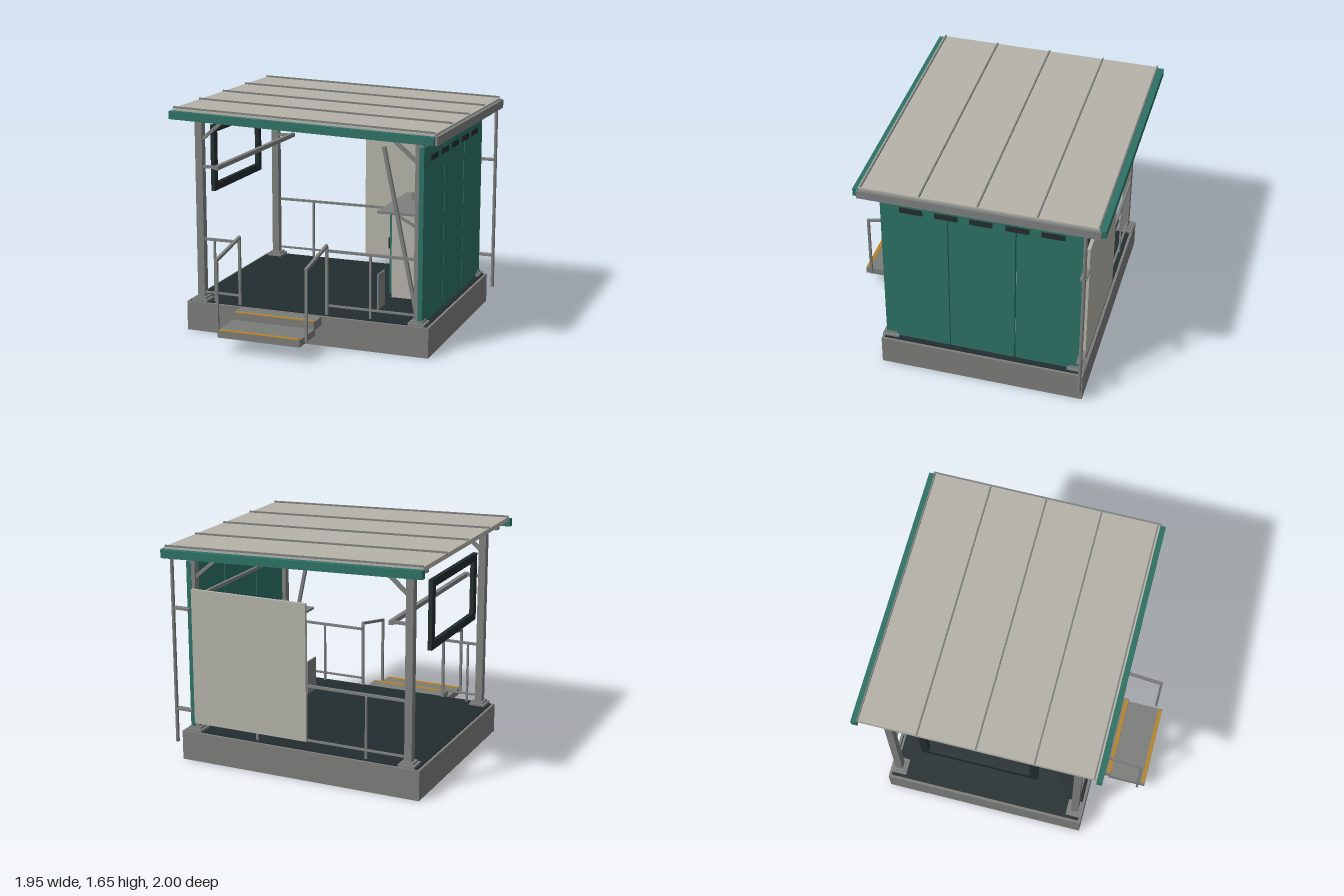
import * as THREE from 'three';

const mat = (name, color) => {
  const m = new THREE.MeshStandardMaterial({ color });
  m.name = name;
  return m;
};

export function createModel() {
  const model = new THREE.Group();
  model.name = 'shelter';
  const concrete = mat('concrete', 0x7b7d7a);
  const steel = mat('galvanised steel', 0x7d807e);
  const green = mat('green panel', 0x2d7164);
  const beige = mat('beige sheet', 0xb4b2a8);
  const dark = mat('dark rubber', 0x222c2e);
  const amber = mat('amber nosing', 0xb5822a);

  // Box given by its min and max on each axis
  const box = (name, m, x0, x1, y0, y1, z0, z1, parent = model) => {
    const mesh = new THREE.Mesh(new THREE.BoxGeometry(x1 - x0, y1 - y0, z1 - z0), m);
    mesh.position.set((x0 + x1) / 2, (y0 + y1) / 2, (z0 + z1) / 2);
    mesh.name = name;
    parent.add(mesh);
    return mesh;
  };
  // Square bar between two points
  const bar = (name, a, b, w = 0.018, m = steel) => {
    const p = new THREE.Vector3(...a), q = new THREE.Vector3(...b);
    const mesh = new THREE.Mesh(new THREE.BoxGeometry(w, w, p.distanceTo(q)), m);
    mesh.position.copy(p).add(q).multiplyScalar(0.5);
    mesh.lookAt(q);
    mesh.name = name;
    model.add(mesh);
  };

  // Base slab and deck
  box('baseSlab', concrete, -0.93, 0.9, 0, 0.215, -0.88, 0.6);
  box('deck', dark, -0.91, 0.88, 0.215, 0.222, -0.86, 0.58);

  // Steps with nosings
  box('upperStep', concrete, -0.5, 0.115, 0.15, 0.213, 0.6, 0.735);
  box('lowerStep', concrete, -0.5, 0.115, 0.11, 0.16, 0.72, 1.0);
  box('upperNosing', amber, -0.49, 0.105, 0.213, 0.217, 0.705, 0.733);
  box('lowerNosing', amber, -0.49, 0.105, 0.16, 0.165, 0.97, 0.998);

  // Posts, foot plates and knee braces
  for (const z of [0.54, -0.815]) {
    for (const [x, top, s] of [[-0.83, 1.575, 1], [0.808, 1.52, -1]]) {
      box('post', steel, x - 0.027, x + 0.027, 0.222, top, z - 0.027, z + 0.027);
      box('footPlate', steel, x - 0.06, x + 0.06, 0.222, 0.237, z - 0.06, z + 0.06);
      box('footCollar', steel, x - 0.044, x + 0.044, 0.237, 0.252, z - 0.044, z + 0.044);
      bar('kneeBrace', [x + s * 0.02, top - 0.17, z], [x + s * 0.18, top - 0.035, z], 0.024);
    }
  }

  // Sloping roof
  const roof = new THREE.Group();
  roof.name = 'roof';
  roof.position.y = 1.563;
  roof.rotation.z = -0.031;
  model.add(roof);
  box('roofSheet', beige, -0.97, 0.95, 0.012, 0.044, -0.956, 0.682, roof);
  for (const z of [-0.953, -0.545, -0.14, 0.26, 0.665])
    box('roofRib', steel, -0.97, 0.945, 0.044, 0.056, z - 0.005, z + 0.005, roof);
  box('frontFascia', green, -0.98, 0.955, -0.028, 0.029, 0.682, 0.72, roof);
  box('backFascia', green, -0.98, 0.955, -0.028, 0.029, -1.0, -0.956, roof);
  for (const z of [0.54, -0.815])
    box('rafter', steel, -0.94, 0.94, -0.025, 0.012, z - 0.022, z + 0.022, roof);

  // Gutter, downpipe and its brackets
  box('gutter', steel, 0.945, 0.972, 1.502, 1.562, -0.97, 0.69);
  const pipe = new THREE.Mesh(new THREE.CylinderGeometry(0.013, 0.013, 1.385, 12), steel);
  pipe.position.set(0.948, 0.817, -0.868);
  pipe.name = 'downpipe';
  model.add(pipe);
  for (const y of [0.375, 1.12])
    box('pipeBracket', steel, 0.82, 0.945, y - 0.008, y + 0.008, -0.882, -0.838);

  // Green side wall: three panels, girts and vents
  for (const [z0, z1] of [[0.103, 0.575], [-0.37, 0.095], [-0.847, -0.38]])
    box('sidePanel', green, 0.811, 0.845, 0.228, 1.46, z0, z1);
  for (const y of [0.33, 0.84, 1.2])
    box('wallGirt', steel, 0.79, 0.811, y - 0.012, y + 0.012, -0.79, 0.515);
  for (const z of [0.355, 0.11, -0.135, -0.385, -0.63])
    box('vent', dark, 0.845, 0.853, 1.347, 1.387, z - 0.08, z + 0.08);

  // Rear screen
  box('rearScreen', beige, -0.085, 0.8, 0.285, 1.27, -0.872, -0.848);

  // Guard rails: [x from, x to, z, baluster positions]
  const rails = [
    [-0.805, 0.785, -0.835, [-0.52, 0.315]],
    [-0.805, -0.522, 0.55, [-0.725]],
    [0.143, 0.785, 0.55, [0.46]],
  ];
  for (const [x0, x1, z, balusters] of rails) {
    bar('topRail', [x0, 0.68, z], [x1, 0.68, z]);
    bar('lowerRail', [x0, 0.284, z], [x1, 0.284, z], 0.014);
    for (const x of balusters) bar('baluster', [x, 0.222, z], [x, 0.68, z], 0.014);
  }

  // Stair handrails
  for (const x of [-0.522, 0.143]) {
    bar('handrailInnerPost', [x, 0.222, 0.57], [x, 0.715, 0.57]);
    bar('handrailOuterPost', [x, 0.14, 0.947], [x, 0.65, 0.947]);
    bar('handrail', [x, 0.722, 0.565], [x, 0.645, 0.955], 0.02);
  }

  // Leaning prop by the front post
  bar('prop', [0.798, 0.28, 0.548], [0.552, 1.445, 0.548], 0.024);
  box('switchBox', steel, 0.755, 0.782, 1.095, 1.145, 0.515, 0.565);

  // Open side: leaning bar on arms and a hanging frame
  box('leaningBar', steel, -0.712, -0.68, 1.192, 1.222, -0.84, 0.565);
  for (const z of [-0.815, 0.54])
    box('barArm', steel, -0.805, -0.7, 1.197, 1.217, z - 0.012, z + 0.012);
  const shape = new THREE.Shape();
  shape.moveTo(-0.42, -0.245).lineTo(0.42, -0.245).lineTo(0.42, 0.245).lineTo(-0.42, 0.245).closePath();
  const hole = new THREE.Path();
  hole.moveTo(-0.365, -0.19).lineTo(-0.365, 0.19).lineTo(0.365, 0.19).lineTo(0.365, -0.19).closePath();
  shape.holes.push(hole);
  const frame = new THREE.Mesh(new THREE.ExtrudeGeometry(shape, { depth: 0.03, bevelEnabled: false }), dark);
  frame.rotation.y = -Math.PI / 2;
  frame.position.set(-0.855, 1.21, -0.16);
  frame.name = 'sideFrame';
  model.add(frame);

  // Cabinet with door, worktop and brace
  box('cabinetBody', beige, 0.425, 0.71, 0.222, 0.89, -0.42, 0.0);
  box('cabinetDoor', green, 0.407, 0.425, 0.25, 0.87, -0.41, -0.01);
  box('doorHandle', dark, 0.387, 0.407, 0.575, 0.655, -0.07, -0.04);
  for (const y of [0.39, 0.73]) box('hinge', steel, 0.4, 0.412, y - 0.033, y + 0.033, -0.41, -0.395);
  box('worktop', steel, 0.39, 0.72, 0.895, 0.912, -0.45, 0.22);
  bar('worktopBrace', [0.457, 0.893, 0.12], [0.8, 0.718, 0.12], 0.018);
  box('floorPlate', steel, 0.43, 0.442, 0.222, 0.48, 0.19, 0.33);

  return model;
}
